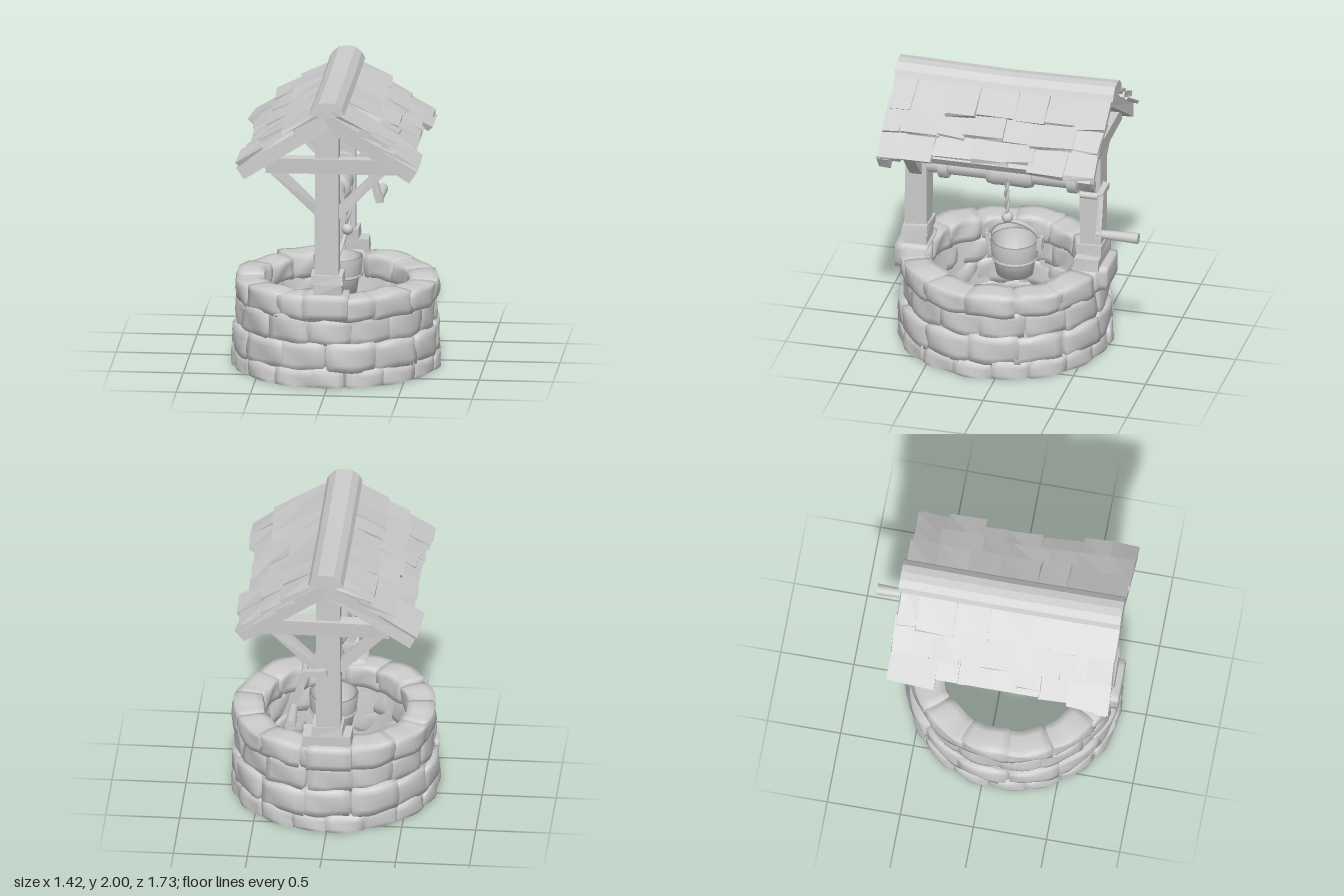
import * as THREE from 'three';
import { mergeVertices } from 'three/addons/utils/BufferGeometryUtils.js';

const grey = new THREE.MeshStandardMaterial({ color: 0xcccccc, side: THREE.DoubleSide });
grey.name = 'pale grey';

let seed = 7;
const rand = () => (seed = (seed * 16807) % 2147483647) / 2147483647;
const jitter = (a) => (rand() * 2 - 1) * a;

function add(parent, name, geo, x = 0, y = 0, z = 0) {
  const m = new THREE.Mesh(geo, grey);
  m.name = name;
  m.position.set(x, y, z);
  parent.add(m);
  return m;
}

// Box softened toward an ellipsoid; vertices come out in -1..1
function softBlock(round) {
  let g = new THREE.BoxGeometry(2, 2, 2, 6, 4, 4);
  g.deleteAttribute('uv');
  g.deleteAttribute('normal');
  g = mergeVertices(g, 1e-4);
  const p = g.attributes.position;
  for (let i = 0; i < p.count; i++) {
    const x = p.getX(i), y = p.getY(i), z = p.getZ(i);
    const f = (a, b, c) => a * (1 - round + round * Math.sqrt(1 - b * b / 2 - c * c / 2 + b * b * c * c / 3));
    p.setXYZ(i, f(x, y, z), f(y, z, x), f(z, x, y));
  }
  return g;
}

// Stone bent around the well's axis, on a slightly deeper than wide ring
function curvedStone(angle, halfAngle, y0, y1, r0, r1, round) {
  const g = softBlock(round);
  const p = g.attributes.position;
  const wave = rand() * 6;
  for (let i = 0; i < p.count; i++) {
    const x = p.getX(i), y = p.getY(i), z = p.getZ(i);
    const t = angle + x * halfAngle;
    const r = (r0 + r1) / 2 + z * (r1 - r0) / 2 + 0.008 * Math.sin(x * 3 + y * 2 + wave);
    const h = (y0 + y1) / 2 + y * (y1 - y0) / 2 + 0.006 * Math.sin(x * 4 + wave);
    p.setXYZ(i, Math.sin(t) * r, Math.max(0.004, h), Math.cos(t) * r * 1.03);
  }
  g.computeVertexNormals();
  return g;
}

// Flat-sided timber or board with slightly shifted corners
function board(w, h, d, rough = 0.006) {
  const g = new THREE.BoxGeometry(w, h, d).toNonIndexed();
  const p = g.attributes.position;
  const shift = {};
  for (let i = 0; i < p.count; i++) {
    const key = [p.getX(i), p.getY(i), p.getZ(i)].map((v) => (v > 0 ? 1 : 0)).join('');
    shift[key] ??= [jitter(rough), jitter(rough), jitter(rough)];
    const s = shift[key];
    p.setXYZ(i, p.getX(i) + s[0], p.getY(i) + s[1], p.getZ(i) + s[2]);
  }
  g.computeVertexNormals();
  return g;
}

// Timber between two points in a plane of constant z
function beam(parent, name, x0, y0, x1, y1, z, thick, depth) {
  const m = add(parent, name, board(Math.hypot(x1 - x0, y1 - y0), thick, depth), (x0 + x1) / 2, (y0 + y1) / 2, z);
  m.rotation.z = Math.atan2(y1 - y0, x1 - x0);
}

// Cylinder lying along z between two depths
function rod(parent, name, z0, z1, r0, r1, x, y, sides = 12) {
  const m = add(parent, name, new THREE.CylinderGeometry(r1, r0, Math.abs(z1 - z0), sides), x, y, (z0 + z1) / 2);
  m.rotation.x = z1 > z0 ? Math.PI / 2 : -Math.PI / 2;
}

function buildWell() {
  const well = new THREE.Group();
  well.name = 'stoneWell';
  well.position.z = 0.103;
  // Mortar core behind the stones
  const core = [[0.515, 0], [0.685, 0], [0.672, 0.28], [0.635, 0.4], [0.635, 0.57], [0.515, 0.57], [0.515, 0]];
  add(well, 'mortarCore', new THREE.LatheGeometry(core.map((c) => new THREE.Vector2(...c)), 40));
  // Courses: bottom, top, inner radius, outer radius, stone count, roundness
  const courses = [
    [-0.08, 0.13, 0.5, 0.705, 17, 0.28],
    [0.1, 0.31, 0.5, 0.705, 13, 0.3],
    [0.28, 0.49, 0.5, 0.675, 14, 0.3],
    [0.455, 0.62, 0.485, 0.688, 13, 0.25],
  ];
  courses.forEach(([y0, y1, r0, r1, n, round], row) => {
    const step = Math.PI * 2 / n;
    for (let i = 0; i < n; i++) {
      const a = i * step + row * 0.23 + jitter(0.03);
      add(well, row === 3 ? 'rimStone' : 'wallStone',
        curvedStone(a, step * 0.56, y0, y1 + jitter(0.012), r0, r1 + jitter(0.008), round));
    }
  });
  return well;
}

function buildFrame() {
  const frame = new THREE.Group();
  frame.name = 'timberFrame';
  for (const [z, out] of [[0.705, 1], [-0.505, -1]]) {
    add(frame, 'post', board(0.165, 1.28, 0.15), -0.005, 1.22, z);
    add(frame, 'postCollar', board(0.215, 0.07, 0.18, 0.008), -0.005, 0.745, z);
    const pad = softBlock(0.15);
    pad.scale(0.16, 0.085, 0.115);
    pad.computeVertexNormals();
    add(frame, 'postPadStone', pad, -0.015, 0.56, z + out * 0.02);
    add(frame, 'postFoot', board(out > 0 ? 0.19 : 0.33, 0.09, 0.165), 0, 0.67, z);
    add(frame, 'crossBeam', board(0.88, 0.105, 0.09), 0.02, 1.545, z + out * 0.05);
    for (const s of [-1, 1]) {
      beam(frame, 'brace', s * 0.05, 1.19, s * 0.4, 1.53, z, 0.065, 0.08);
      beam(frame, 'rafter', 0, 1.868, s * 0.585, 1.488, z + out * 0.09, 0.1, 0.085);
    }
  }
  return frame;
}

function buildRoof() {
  const roof = new THREE.Group();
  roof.name = 'roof';
  const pitch = Math.atan(0.65);
  for (const side of [0, 1]) {
    const turn = new THREE.Group();
    turn.name = side ? 'leftSlope' : 'rightSlope';
    turn.position.set(0, 1.915, 0.09);
    turn.rotation.y = side * Math.PI;
    const slope = new THREE.Group();
    slope.name = 'slopePlane';
    slope.rotation.z = -pitch;
    turn.add(slope);
    add(slope, 'roofPanel', new THREE.BoxGeometry(0.67, 0.065, 1.4), 0.335, -0.023, 0);
    // Shingle rows: upper end and lower end along the slope, height, tilt
    [[0.02, 0.33, 0.03, 0.09], [0.25, 0.51, 0.028, 0.08], [0.42, 0.71, 0.016, 0.02]].forEach(([u0, u1, lift, tilt], row) => {
      let z = -0.745;
      while (z < 0.74) {
        let w = 0.15 + rand() * 0.13;
        if (0.745 - z - w < 0.1) w = 0.745 - z;
        const mid = z + w / 2;
        const short = row === 2 && Math.abs(mid) < 0.42 ? 0.04 + rand() * 0.05 : 0;
        const end = u1 - short + jitter(0.015);
        const m = add(slope, 'shingle', board(end - u0, 0.035, w + 0.01, 0.012), (u0 + end) / 2, lift + jitter(0.006), mid);
        m.rotation.z = tilt + jitter(0.02);
        m.rotation.x = jitter(0.03);
        z += w;
      }
    });
    roof.add(turn);
  }
  // Arched ridge cap in two lengths, sagging toward the middle
  const arch = new THREE.Shape([[-0.12, -0.085], [-0.1, -0.045], [-0.055, -0.008], [0, 0], [0.055, -0.008],
    [0.1, -0.045], [0.12, -0.085], [0, -0.11]].map((c) => new THREE.Vector2(...c)));
  for (const [z0, z1, y, droop] of [[-0.675, 0.05, 1.995, 0.018], [0.03, 0.84, 1.982, -0.018]]) {
    const g = new THREE.ExtrudeGeometry(arch, { depth: z1 - z0, bevelEnabled: false });
    add(roof, 'ridgeCap', g, 0, y, z0).rotation.x = droop;
  }
  return roof;
}

function buildWinch() {
  const winch = new THREE.Group();
  winch.name = 'winch';
  const y = 1.23;
  rod(winch, 'axle', -0.45, 0.65, 0.072, 0.072, 0, y);
  rod(winch, 'frontCollar', 0.485, 0.55, 0.1, 0.1, 0, y);
  rod(winch, 'backCollar', -0.41, -0.345, 0.1, 0.1, 0, y);
  // Wound rope as one barrel
  const barrel = [[0.07, -0.1], [0.095, -0.095], [0.104, -0.05], [0.1, 0.06], [0.104, 0.17], [0.095, 0.215], [0.07, 0.22]];
  const drum = add(winch, 'ropeDrum', new THREE.LatheGeometry(barrel.map((c) => new THREE.Vector2(...c)), 16), 0, y, 0);
  drum.rotation.x = Math.PI / 2;
  // Two twisted strands hanging to the bucket
  for (const phase of [0, Math.PI]) {
    const pts = [];
    for (let i = 0; i <= 24; i++) {
      const t = i / 24, a = phase + t * 12;
      pts.push(new THREE.Vector3(0.09 - t * 0.02 + 0.009 * Math.cos(a), 1.22 - t * 0.33, 0.07 + 0.009 * Math.sin(a)));
    }
    add(winch, 'ropeStrand', new THREE.TubeGeometry(new THREE.CatmullRomCurve3(pts), 48, 0.011, 5));
  }
  add(winch, 'knot', new THREE.SphereGeometry(0.04, 10, 8), 0.07, 0.915, 0.07);
  // Crank
  rod(winch, 'crankShaft', -0.46, -0.61, 0.024, 0.024, 0.15, 1.195, 8);
  beam(winch, 'crankLink', 0, 1.21, 0.17, 1.195, -0.6, 0.045, 0.035);
  beam(winch, 'crankArm', 0.15, 1.21, 0.225, 0.925, -0.605, 0.05, 0.035);
  rod(winch, 'crankHandle', -0.59, -0.88, 0.028, 0.038, 0.22, 0.95, 10);
  return winch;
}

function buildBucket() {
  const bucket = new THREE.Group();
  bucket.name = 'bucket';
  bucket.position.set(0.005, 0, 0.035);
  const wall = [[0, 0.47], [0.125, 0.47], [0.145, 0.59], [0.155, 0.6], [0.168, 0.72], [0.15, 0.72], [0.115, 0.5], [0, 0.5]];
  add(bucket, 'pail', new THREE.LatheGeometry(wall.map((c) => new THREE.Vector2(...c)), 18));
  const hoop = add(bucket, 'hoop', new THREE.TorusGeometry(0.148, 0.012, 6, 20), 0, 0.59, 0);
  hoop.rotation.x = Math.PI / 2;
  // Bail leaning toward the rope
  const bail = add(bucket, 'bail', new THREE.TorusGeometry(0.178, 0.015, 6, 16, Math.PI), 0, 0.71, 0);
  bail.rotation.set(0, Math.PI / 2, -0.3, 'ZYX');
  for (const s of [-1, 1]) add(bucket, 'bailEar', board(0.06, 0.09, 0.035), 0, 0.71, s * 0.178);
  return bucket;
}

export function createModel() {
  const model = new THREE.Group();
  model.name = 'wishingWell';
  model.add(buildWell(), buildFrame(), buildRoof(), buildWinch(), buildBucket());
  return model;
}
